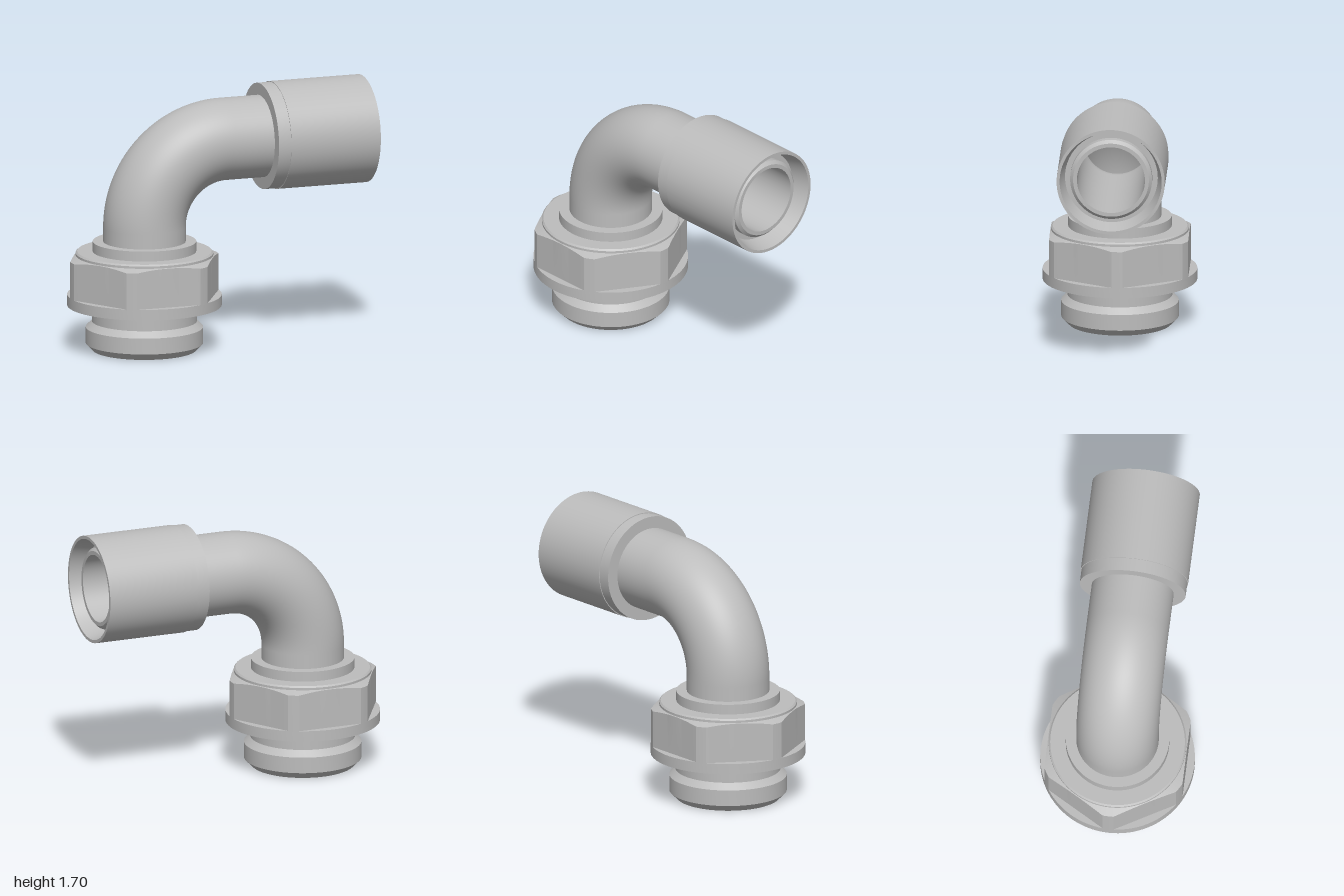
import * as THREE from 'three';
import { toCreasedNormals } from 'three/addons/utils/BufferGeometryUtils.js';

const AXIS_X = -0.5;   // axis of the upright end
const AXIS_Y = 1.35;   // axis of the horizontal end
const BEND = 0.54;     // centreline radius of the elbow

// Centreline: straight up, quarter bend, straight out along +x
class ElbowCurve extends THREE.Curve {
  constructor(startY, endX) {
    super();
    this.startY = startY;
    this.up = AXIS_Y - BEND - startY;
    this.arc = BEND * Math.PI / 2;
    this.out = endX - (AXIS_X + BEND);
  }
  getPoint(t, target = new THREE.Vector3()) {
    const s = t * (this.up + this.arc + this.out);
    if (s < this.up) return target.set(AXIS_X, this.startY + s, 0);
    const a = Math.min((s - this.up) / BEND, Math.PI / 2);
    const rest = Math.max(0, s - this.up - this.arc);
    return target.set(
      AXIS_X + BEND * (1 - Math.cos(a)) + rest,
      AXIS_Y - BEND + BEND * Math.sin(a), 0);
  }
}

// Profile of [radius, height] points spun about y, with sharp edges kept
function spin(points, segments = 96) {
  return new THREE.LatheGeometry(points.map(([r, y]) => new THREE.Vector2(r, y)), segments);
}
const crease = (g) => toCreasedNormals(g, 0.3);

// Turn a closed surface inside out
function invert(g) {
  g.index.array.reverse();
  g.attributes.normal.array.forEach((v, i, a) => { a[i] = -v; });
  return g;
}

// Hexagon with its corners rounded off by a cylinder and a chamfered top
function hexNut() {
  const apothem = 0.45, cornerRadius = 0.5;
  const g = spin([[0.5, 0.36], [0.5, 0.62], [0.445, 0.625],
    [0.445, 0.64], [0.435, 0.65], [0.3, 0.65]], 180);
  const p = g.attributes.position;
  for (let i = 0; i < p.count; i++) {
    const r = Math.hypot(p.getX(i), p.getZ(i));
    if (r < 0.49) continue;
    const angle = Math.atan2(p.getX(i), p.getZ(i));
    const off = angle - Math.round(angle / (Math.PI / 3)) * Math.PI / 3;
    const hexR = Math.min(cornerRadius, apothem / Math.cos(off));
    p.setX(i, p.getX(i) * hexR / r);
    p.setZ(i, p.getZ(i) * hexR / r);
    if (p.getY(i) > 0.5) p.setY(i, 0.622 - (hexR - apothem) * 0.35);
  }
  return toCreasedNormals(g, 0.2);
}

export function createModel() {
  const model = new THREE.Group();
  model.name = 'elbowFitting';
  const steel = new THREE.MeshStandardMaterial({ color: 0xbcbcbc });
  steel.name = 'grey steel';

  const add = (name, geometry, x = 0, y = 0) => {
    const mesh = new THREE.Mesh(geometry, steel);
    mesh.name = name;
    mesh.position.set(x, y, 0);
    model.add(mesh);
  };

  // Plug end with groove, flange, collar and tapered bore
  add('plugBody', crease(spin([
    [0.30, 0], [0.335, 0], [0.38, 0.045], [0.38, 0.15], [0.34, 0.19], [0.34, 0.28],
    [0.345, 0.29], [0.36, 0.295], [0.5, 0.295], [0.5, 0.365], [0.335, 0.365],
    [0.335, 0.715], [0.25, 0.715],
  ])), AXIS_X);
  add('taperedBore', crease(spin([[0.22, 0.5], [0.30, 0]])), AXIS_X);
  add('hexNut', hexNut(), AXIS_X);

  // Bent pipe and its bore
  add('pipe', new THREE.TubeGeometry(new ElbowCurve(0.69, 0.32), 96, 0.267, 72));
  add('pipeBore', invert(new THREE.TubeGeometry(new ElbowCurve(0.5, 0.4), 96, 0.22, 72)));

  // Socket sleeve with a recessed inner ring
  const socket = crease(spin([
    [0.22, 0.30], [0.345, 0.30], [0.345, 0.385], [0.35, 0.385], [0.35, 1], [0.33, 1],
    [0.30, 0.88], [0.265, 0.88], [0.265, 0.93], [0.245, 0.95], [0.22, 0.95], [0.22, 0.39],
  ]));
  socket.rotateZ(-Math.PI / 2);
  add('socket', socket, 0, AXIS_Y);

  return model;
}
